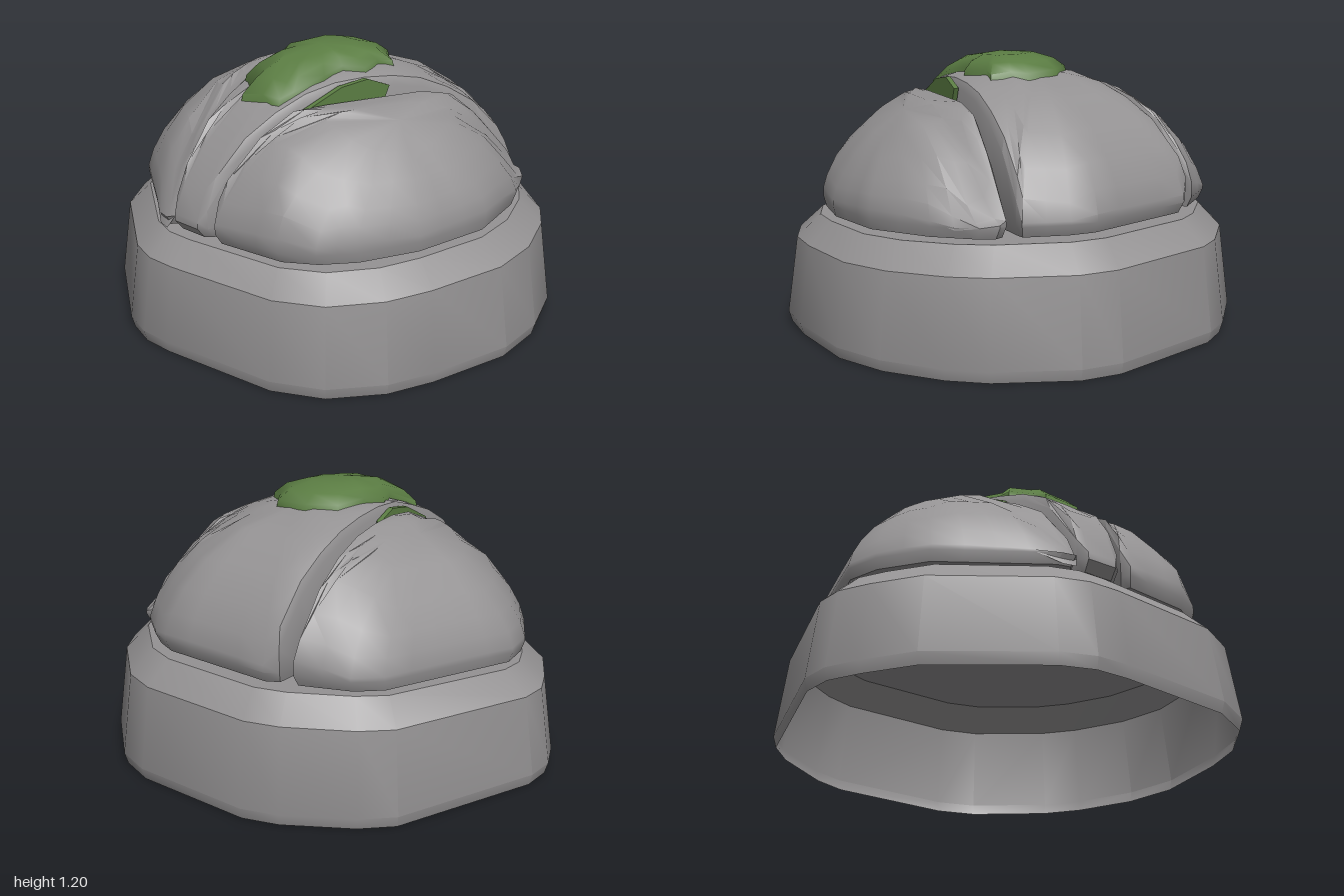
import * as THREE from 'three';
import { toCreasedNormals } from 'three/addons/utils/BufferGeometryUtils.js';

const stoneGrey = new THREE.MeshStandardMaterial({ name: 'stoneGrey', color: 0x959394 });
const baseGrey = new THREE.MeshStandardMaterial({ name: 'baseGrey', color: 0x959394, side: THREE.DoubleSide });
const mossGreen = new THREE.MeshStandardMaterial({ name: 'mossGreen', color: 0x5b7d43, side: THREE.DoubleSide });

// Plan outlines as [x, z], clockwise seen from above
const BASE = [[-0.35, -0.9], [0.22, -0.96], [0.4, -0.92], [0.7, -0.72], [0.82, -0.58], [0.95, -0.33], [1, -0.08],
  [0.95, 0.3], [0.89, 0.51], [0.75, 0.72], [0.55, 0.84], [0, 0.94], [-0.15, 0.95], [-0.3, 0.91], [-0.75, 0.64],
  [-0.9, 0.45], [-0.98, 0.32], [-1, 0.18], [-0.85, -0.5], [-0.75, -0.63], [-0.5, -0.83]];
const DOME = [[-0.4, -0.74], [0.22, -0.81], [0.5, -0.67], [0.75, -0.42], [0.85, -0.1], [0.8, 0.25], [0.7, 0.52],
  [0.5, 0.73], [0, 0.81], [-0.2, 0.8], [-0.65, 0.55], [-0.8, 0.36], [-0.85, 0.2], [-0.72, -0.45], [-0.62, -0.58]];
const LEFT_CUT = [[-0.44, -0.68], [-0.12, 0.78], [-0.14, 0.81], [-0.2, 0.8], [-0.65, 0.54], [-0.8, 0.35],
  [-0.85, 0.2], [-0.72, -0.45], [-0.64, -0.56]];
const MIDDLE_CUT = [[-0.38, -0.7], [-0.33, -0.74], [0.22, -0.8], [0.33, -0.77], [0.5, -0.67], [0.49, -0.62],
  [0.09, 0.77], [0.06, 0.8], [-0.08, 0.81], [-0.11, 0.77]];
const RIGHT_CUT = [[0.54, -0.62], [0.58, -0.63], [0.64, -0.58], [0.75, -0.4], [0.84, -0.1], [0.8, 0.25], [0.7, 0.5],
  [0.6, 0.63], [0.47, 0.72], [0.15, 0.78], [0.13, 0.74]];
const MOSS = [[-0.05, -0.24], [0.12, -0.25], [0.17, -0.19], [0.25, -0.15], [0.22, -0.08], [0.26, 0.03], [0.19, 0.1],
  [0.2, 0.22], [0.17, 0.37], [0.15, 0.43], [0.05, 0.44], [-0.05, 0.47], [-0.06, 0.4], [-0.17, 0.35],
  [-0.13, 0.21], [-0.2, 0.1], [-0.17, 0], [-0.17, -0.16]];

const lerp = THREE.MathUtils.lerp;

// 0 at the middle of the dome, 1 on its rim
function rimRatio(x, z) {
  let ratio = 0;
  DOME.forEach(([ax, az], i) => {
    const [bx, bz] = DOME[(i + 1) % DOME.length];
    const nx = bz - az, nz = ax - bx;
    ratio = Math.max(ratio, (nx * x + nz * z) / (nx * ax + nz * az));
  });
  return ratio;
}

// Dome height, interpolated along its section
const SECTION = [[0, 1.14], [0.3, 1.11], [0.55, 1.03], [0.74, 0.93], [0.9, 0.78], [1, 0.62]];
function domeHeight(x, z) {
  const r = Math.min(rimRatio(x, z), 1);
  const i = Math.max(1, SECTION.findIndex(p => p[0] >= r));
  const [r0, y0] = SECTION[i - 1], [r1, y1] = SECTION[i];
  return lerp(y0, y1, (r - r0) / (r1 - r0)) - 0.02 * z;
}

// Split long edges of an outline
function densify(outline, step) {
  const points = [];
  outline.forEach(([ax, az], i) => {
    const [bx, bz] = outline[(i + 1) % outline.length];
    const n = Math.ceil(Math.hypot(bx - ax, bz - az) / step);
    for (let k = 0; k < n; k++) points.push([lerp(ax, bx, k / n), lerp(az, bz, k / n)]);
  });
  return points;
}

// Skin scaled copies of an outline; rings are [scale, height rule], bottom to top
function loft(outline, [cx, cz], rings, crease) {
  const n = outline.length, pos = [], index = [];
  for (const [s, height] of rings) {
    for (const [px, pz] of outline) {
      const x = lerp(cx, px, s), z = lerp(cz, pz, s);
      pos.push(x, height(x, z), z);
    }
  }
  for (let r = 0; r < rings.length - 1; r++) {
    for (let i = 0; i < n; i++) {
      const a = r * n + i, b = r * n + (i + 1) % n;
      if (rings[r + 1][0] > 0) index.push(a, a + n, b + n);
      if (rings[r][0] > 0) index.push(a, b + n, b);
    }
  }
  const geometry = new THREE.BufferGeometry();
  geometry.setAttribute('position', new THREE.Float32BufferAttribute(pos, 3));
  geometry.setIndex(index);
  return toCreasedNormals(geometry, crease);
}

function addMesh(group, name, geometry, material) {
  const mesh = new THREE.Mesh(geometry, material);
  mesh.name = name;
  group.add(mesh);
}

const baseTop = (x, z) => 0.502 - 0.03 * z;
const stoneBottom = (x, z) => 0.522 - 0.03 * z;

// One wedge of the split boulder, bevelled along its edges
function stone(outline, centre, height) {
  const rings = [
    [0, stoneBottom],
    [0.965, stoneBottom],
    [1, (x, z) => stoneBottom(x, z) + 0.045],
    [1, (x, z) => height(x, z) - 0.03],
    [0.95, height], [0.85, height], [0.68, height], [0.4, height], [0, height],
  ];
  return loft(densify(outline, 0.16), centre, rings, 0.6);
}

// Ragged sheet of moss hanging in a gap
function hangingMoss(xTop, slope) {
  const shape = new THREE.Shape([[-0.02, 1.06], [0.05, 0.88], [0.1, 0.7], [0.12, 0.49], [0.38, 0.488],
    [0.33, 0.7], [0.38, 0.86], [0.36, 1.0], [0.2, 1.08], [0.08, 1.1]].map(p => new THREE.Vector2(...p)));
  const geometry = new THREE.ExtrudeGeometry(shape, { depth: 0.025, bevelEnabled: false });
  const p = geometry.attributes.position;
  for (let i = 0; i < p.count; i++) {
    const z = p.getX(i), y = p.getY(i), t = p.getZ(i);
    p.setXYZ(i, xTop + slope * z + t - 0.0125, y, z);
  }
  geometry.computeVertexNormals();
  return geometry;
}

export function createModel() {
  const model = new THREE.Group();
  model.name = 'splitBoulderOnPlinth';

  // Hollow plinth, open underneath
  addMesh(model, 'plinth', loft(BASE, [0, 0], [
    [0.985, () => 0],
    [1, () => 0.05],
    [0.953, (x, z) => 0.4 - 0.02 * z],
    [0.85, baseTop],
    [0, baseTop],
  ], 0.5), baseGrey);

  // Boulder wedges; the left falls away in front, the right has a flat top and a dent
  addMesh(model, 'leftStone', stone(LEFT_CUT, [-0.45, 0.05], (x, z) =>
    Math.min(1.08, domeHeight(x, z) - 0.1 * Math.max(0, z) * (x > -0.3 ? 1 : 0.3))), stoneGrey);
  addMesh(model, 'middleStone', stone(MIDDLE_CUT, [0.03, -0.2], domeHeight), stoneGrey);
  addMesh(model, 'rightStone', stone(RIGHT_CUT, [0.53, 0.1], (x, z) =>
    Math.min(1.02, domeHeight(x, z)) - 0.07 * Math.exp(-((x - 0.6) ** 2 + (z + 0.45) ** 2) / 0.012)), stoneGrey);

  // Moss cushion on the crown
  const mossLift = lift => (x, z) => domeHeight(x, z) + lift;
  addMesh(model, 'mossCap', loft(MOSS, [0.02, 0.08], [
    [1, mossLift(-0.02)], [0.97, mossLift(0.02)], [0.8, mossLift(0.05)],
    [0.5, mossLift(0.065)], [0, mossLift(0.07)],
  ], 1.2), mossGreen);

  // Moss in the two gaps
  addMesh(model, 'leftHangingMoss', hangingMoss(-0.27, 0.2), mossGreen);
  addMesh(model, 'rightHangingMoss', hangingMoss(0.33, -0.28), mossGreen);
  return model;
}
